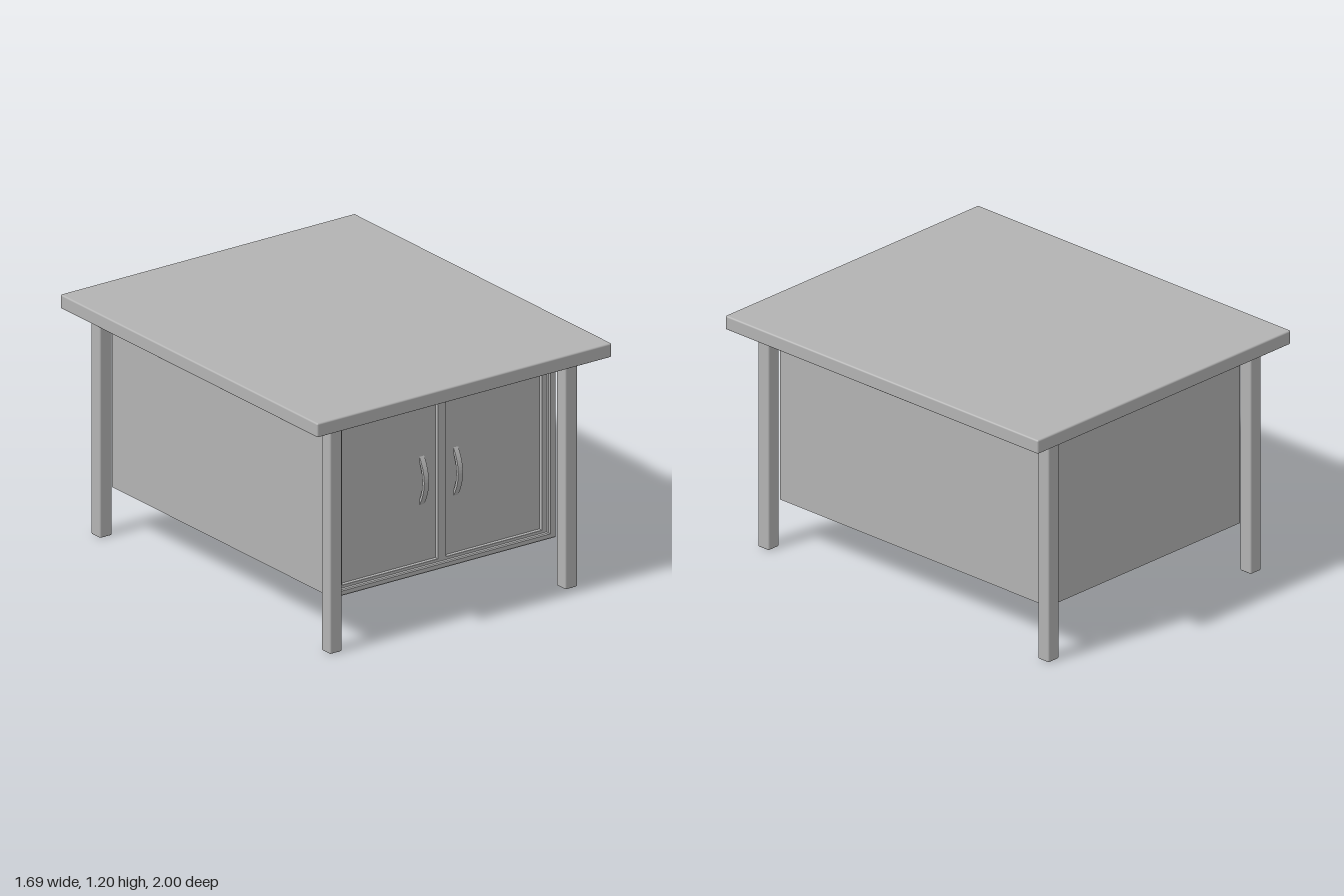
import * as THREE from 'three';
import { RoundedBoxGeometry } from 'three/addons/geometries/RoundedBoxGeometry.js';

const grey = new THREE.MeshStandardMaterial({ color: 0xb3b3b3 });
grey.name = 'plain grey';

const CX = -0.01; // the base sits slightly off the tabletop's centre

function add(parent, name, geometry, x = 0, y = 0, z = 0) {
  const mesh = new THREE.Mesh(geometry, grey);
  mesh.name = name;
  mesh.position.set(x, y, z);
  parent.add(mesh);
  return mesh;
}

// Rectangle outline from two corners
function rect(Type, x0, x1, y0, y1) {
  return new Type([[x0, y0], [x1, y0], [x1, y1], [x0, y1]].map(p => new THREE.Vector2(...p)));
}

// Softly bevelled flat frame with rectangular openings, its front at z = front
function frame(outer, holes, back, front, bevel) {
  const shape = rect(THREE.Shape, ...outer);
  holes.forEach(h => shape.holes.push(rect(THREE.Path, ...h)));
  const geo = new THREE.ExtrudeGeometry(shape, {
    depth: front - back - 2 * bevel, bevelEnabled: true, bevelSegments: 1,
    bevelThickness: bevel, bevelSize: bevel, bevelOffset: -bevel,
  });
  return geo.translate(0, 0, back + bevel);
}

// Bowed pull handle: a crescent side profile extruded across its width
function handleGeometry() {
  const width = 0.027;
  const s = new THREE.Shape();
  s.moveTo(0, -0.122);
  s.quadraticCurveTo(0.078, 0, 0, 0.122);
  s.lineTo(0, 0.098);
  s.quadraticCurveTo(0.048, 0, 0, -0.098);
  s.closePath();
  const geo = new THREE.ExtrudeGeometry(s, { depth: width, bevelEnabled: false, curveSegments: 16 });
  return geo.translate(0, 0, -width / 2).rotateY(-Math.PI / 2);
}

export function createModel() {
  const model = new THREE.Group();
  model.name = 'cabinetTable';

  // Overhanging top
  add(model, 'tabletop', new RoundedBoxGeometry(1.69, 0.07, 2, 2, 0.008), 0, 1.165, 0);

  // Four legs standing just outside the cabinet's corners
  const legGeo = new RoundedBoxGeometry(0.07, 1.125, 0.07, 2, 0.008);
  for (const sx of [-1, 1]) {
    for (const sz of [-1, 1]) {
      const name = (sz > 0 ? 'front' : 'back') + (sx > 0 ? 'Left' : 'Right') + 'Leg';
      add(model, name, legGeo, CX + sx * 0.675, 0.5625, sz * 0.895);
    }
  }

  // Cabinet body, ending at the recessed door panels
  const cabinet = new THREE.Group();
  cabinet.name = 'cabinet';
  model.add(cabinet);
  add(cabinet, 'carcass', new THREE.BoxGeometry(1.28, 0.89, 1.68), CX, 0.685, -0.02);

  // Face frame, then the set-back door frame with its two panel openings
  add(cabinet, 'faceFrame',
    frame([-0.65, 0.63, 0.24, 1.13], [[-0.61, 0.59, 0.27, 1.1]], 0.8, 0.86, 0.005));
  add(cabinet, 'doorFrame',
    frame([-0.63, 0.61, 0.255, 1.115],
      [[-0.585, -0.035, 0.285, 1.085], [0.012, 0.562, 0.285, 1.085]], 0.8, 0.84, 0.001));

  // Handles beside the centre stile
  const handle = handleGeometry();
  add(cabinet, 'rightDoorHandle', handle, -0.113, 0.687, 0.819);
  add(cabinet, 'leftDoorHandle', handle, 0.082, 0.687, 0.819);

  return model;
}
